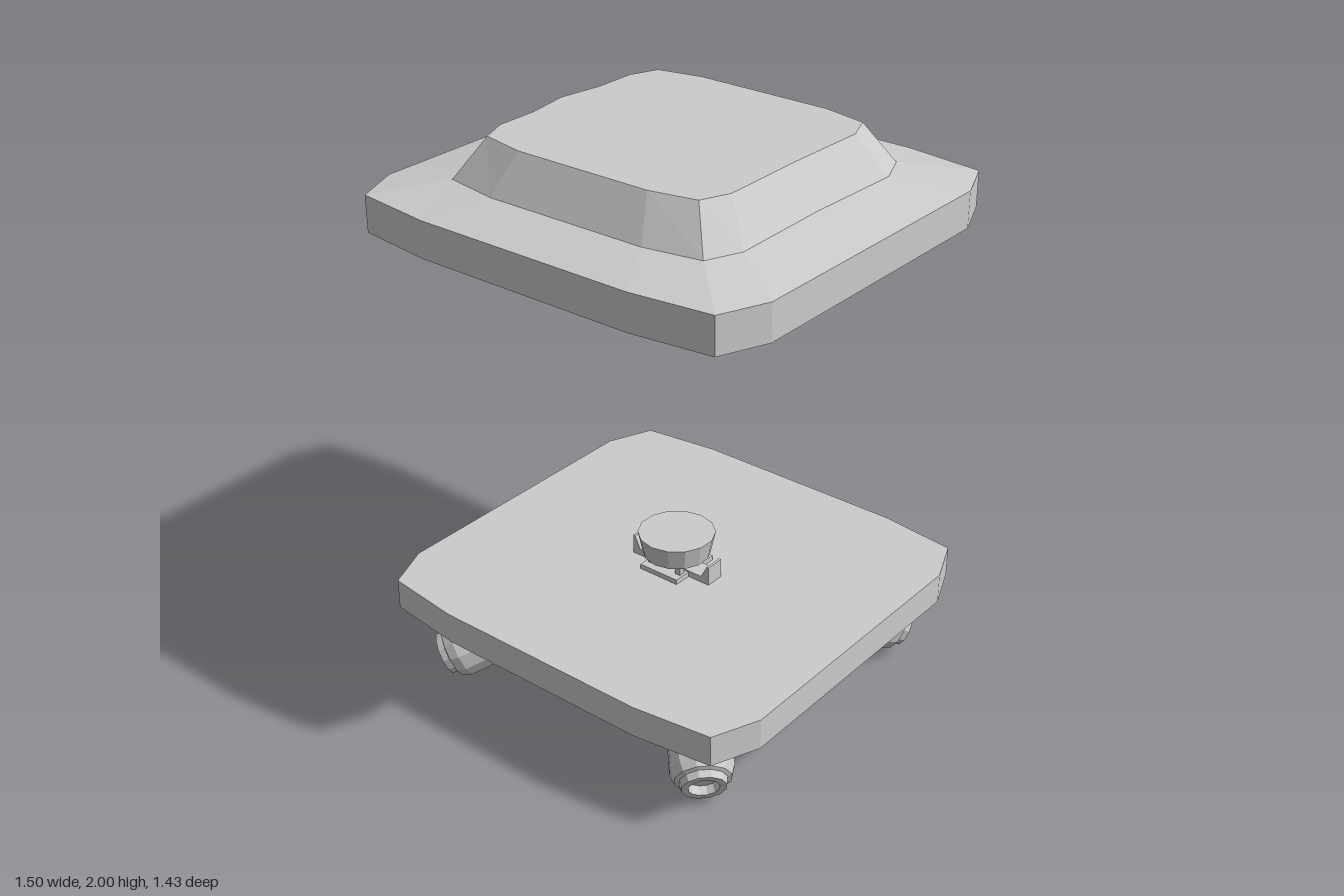
import * as THREE from 'three';

const material = new THREE.MeshStandardMaterial({ color: 0xcccccc, flatShading: true });

function add(parent, name, geometry, x = 0, y = 0, z = 0) {
  const mesh = new THREE.Mesh(geometry, material);
  mesh.name = name;
  mesh.position.set(x, y, z);
  parent.add(mesh);
  return mesh;
}

// Half outlines (z >= 0), running from right to left
const rim = [[0.748, 0], [0.748, 0.515], [0.68, 0.68], [0.4, 0.715], [-0.4, 0.715],
  [-0.68, 0.68], [-0.748, 0.515], [-0.748, 0.26], [-0.748, 0]];
const shoulder = [[0.53, 0], [0.54, 0.37], [0.49, 0.49], [0.295, 0.525], [-0.295, 0.525],
  [-0.49, 0.49], [-0.54, 0.37], [-0.54, 0.19], [-0.555, 0]];
const crown = [[0.445, 0], [0.45, 0.31], [0.41, 0.41], [0.25, 0.443], [-0.25, 0.443],
  [-0.41, 0.41], [-0.45, 0.31], [-0.45, 0.16], [-0.475, 0]];

// Closed ring at a height, mirrored in z
function ring(half, y, s = 1) {
  const back = half.slice(1, -1).reverse().map(([x, z]) => [x, -z]);
  return [...half, ...back].map(([x, z]) => [x * s, y, z * s]);
}

// Capped faceted solid through rings, bottom to top
function loft(rings) {
  const p = [];
  const n = rings[0].length;
  const low = rings[0], high = rings[rings.length - 1];
  for (let i = 0; i < n; i++) {
    const j = (i + 1) % n;
    for (let k = 0; k < rings.length - 1; k++) {
      const a = rings[k], b = rings[k + 1];
      p.push(...a[i], ...b[i], ...b[j], ...a[i], ...b[j], ...a[j]);
    }
    p.push(0, low[0][1], 0, ...low[i], ...low[j]);
    p.push(0, high[0][1], 0, ...high[j], ...high[i]);
  }
  const g = new THREE.BufferGeometry();
  g.setAttribute('position', new THREE.Float32BufferAttribute(p, 3));
  g.computeVertexNormals();
  return g;
}

const lathe = (profile, sides) =>
  new THREE.LatheGeometry(profile.map(([r, y]) => new THREE.Vector2(r, y)), sides);

export function createModel() {
  const model = new THREE.Group();
  model.name = 'hoveringPlatforms';

  // Upper slab with raised crown
  add(model, 'upperSlab', loft([ring(rim, 1.7), ring(rim, 1.825),
    ring(shoulder, 1.865), ring(crown, 2)]));

  // Lower hull, tapering to a flat underside
  add(model, 'lowerHull', loft([ring(rim, 0.095, 0.62), ring(rim, 0.23, 0.89),
    ring(rim, 0.3), ring(rim, 0.41)]));

  // Knob on its stem
  const knob = new THREE.Group();
  knob.name = 'topKnob';
  model.add(knob);
  add(knob, 'knobCap', new THREE.CylinderGeometry(0.135, 0.118, 0.08, 14), 0, 0.505, 0);
  add(knob, 'knobStem', new THREE.CylinderGeometry(0.055, 0.055, 0.06, 10), 0, 0.437, 0);
  add(knob, 'knobCollar', new THREE.CylinderGeometry(0.085, 0.075, 0.015, 12), 0, 0.458, 0);
  for (let i = 0; i < 4; i++) {
    const a = Math.PI / 4 + i * Math.PI / 2;
    add(knob, 'knobPost', new THREE.BoxGeometry(0.022, 0.055, 0.022),
      0.085 * Math.cos(a), 0.435, 0.085 * Math.sin(a));
  }
  add(knob, 'knobBase', new THREE.BoxGeometry(0.16, 0.02, 0.2), 0, 0.418, 0);

  // Clamp arms with upturned tapering ends
  const arm = new THREE.Shape([[0.05, 0], [0.167, 0], [0.167, 0.072], [0.158, 0.072],
    [0.135, 0.025], [0.05, 0.025]].map(([x, y]) => new THREE.Vector2(x, y)));
  const armGeometry = new THREE.ExtrudeGeometry(arm, { depth: 0.07, bevelEnabled: false });
  armGeometry.translate(0, 0, -0.035);
  for (const side of [0, Math.PI]) {
    add(knob, 'clampArm', armGeometry, 0, 0.408, 0).rotation.y = side;
  }

  // Small underside nozzles: one central, four on the diagonals
  const nozzle = lathe([[0.085, -0.01], [0.1, 0.01], [0.1, 0.038], [0.078, 0.046], [0.078, 0.062],
    [0.066, 0.066], [0.058, 0.088], [0.04, 0.088], [0.034, 0.065], [0, 0.065]], 12);
  const spots = [[0, 0, 0.088]];
  for (const x of [-1, 1]) for (const z of [-1, 1]) spots.push([x * 0.275, z * 0.275, 0.098]);
  for (const [x, z, y] of spots) {
    add(model, 'liftNozzle', nozzle, x, y, z).rotation.x = Math.PI;
  }

  // Angled corner thrusters with a wide collar against the hull
  const collar = lathe([[0, -0.04], [0.125, -0.04], [0.15, 0], [0.15, 0.035], [0.115, 0.06],
    [0, 0.06]], 8);
  const barrel = lathe([[0.085, 0], [0.105, 0.08], [0.108, 0.18], [0.095, 0.215], [0.08, 0.22],
    [0.075, 0.245], [0.052, 0.245], [0.046, 0.215], [0, 0.215]], 12);
  const up = new THREE.Vector3(0, 1, 0);
  for (const x of [-1, 1]) for (const z of [-1, 1]) {
    const thruster = new THREE.Group();
    thruster.name = 'cornerThruster';
    thruster.position.set(x * 0.42, 0.195, z * 0.42);
    thruster.quaternion.setFromUnitVectors(up, new THREE.Vector3(x * 0.63, -0.4, z * 0.63).normalize());
    add(thruster, 'thrusterCollar', collar);
    add(thruster, 'thrusterBarrel', barrel);
    model.add(thruster);
  }
  return model;
}
